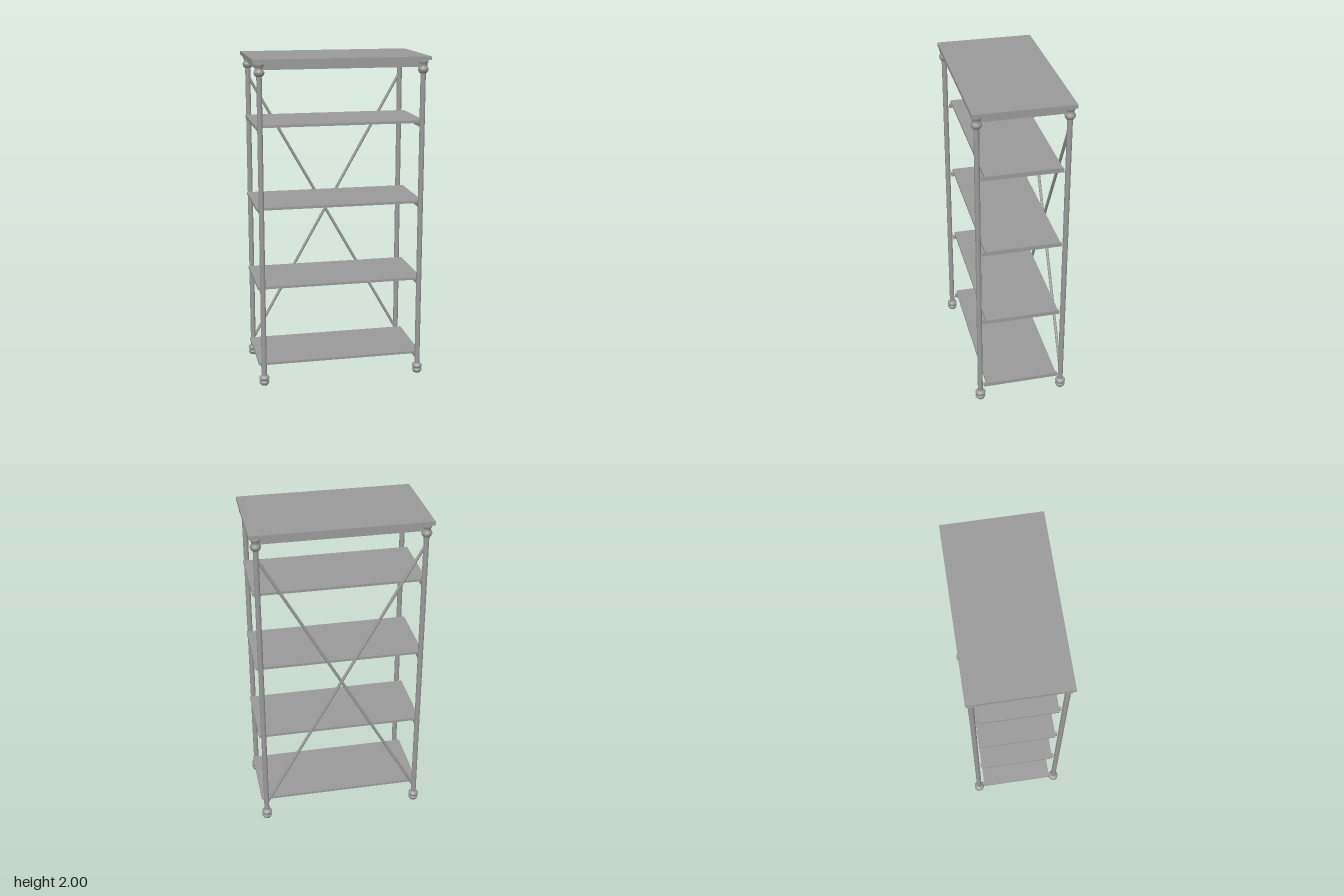
import * as THREE from 'three';

const POST_X = 0.49, POST_Z = 0.262;
const material = new THREE.MeshStandardMaterial({ color: 0x9a9a9a });

function add(parent, name, geometry, x = 0, y = 0, z = 0) {
  const mesh = new THREE.Mesh(geometry, material);
  mesh.name = name;
  mesh.position.set(x, y, z);
  parent.add(mesh);
  return mesh;
}

const box = (w, h, d) => new THREE.BoxGeometry(w, h, d);

// Round bar between two points
function bar(parent, name, from, to, radius) {
  const direction = to.clone().sub(from);
  const mesh = add(parent, name, new THREE.CylinderGeometry(radius, radius, direction.length(), 16));
  mesh.position.copy(from).add(to).multiplyScalar(0.5);
  mesh.quaternion.setFromUnitVectors(new THREE.Vector3(0, 1, 0), direction.normalize());
}

const lathe = (points) =>
  new THREE.LatheGeometry(points.map(([r, y]) => new THREE.Vector2(r, y)), 24);

export function createModel() {
  const model = new THREE.Group();
  model.name = 'shelfUnit';

  // Turned foot and capital profiles, bottom to top
  const foot = lathe([
    [0, 0], [0.02, 0], [0.025, 0.006], [0.031, 0.018], [0.03, 0.024], [0.022, 0.031],
    [0.03, 0.039], [0.032, 0.046], [0.03, 0.053], [0.022, 0.061], [0.016, 0.063],
  ]);
  const capital = lathe([
    [0.016, 1.899], [0.022, 1.902], [0.028, 1.91], [0.032, 1.921], [0.03, 1.93], [0.024, 1.938],
    [0.023, 1.948], [0.025, 1.957], [0.031, 1.965], [0.031, 1.98], [0, 1.98],
  ]);

  // Four posts
  for (const sx of [-1, 1]) {
    for (const sz of [-1, 1]) {
      const post = new THREE.Group();
      post.name = 'post';
      post.position.set(sx * POST_X, 0, sz * POST_Z);
      add(post, 'postTube', new THREE.CylinderGeometry(0.016, 0.016, 1.9, 24), 0, 1.0, 0);
      add(post, 'foot', foot);
      add(post, 'capital', capital);
      model.add(post);
    }
  }

  // Top board and the apron frame beneath it
  add(model, 'topBoard', box(1.062, 0.022, 0.588), 0, 1.989, 0);
  for (const s of [-1, 1]) {
    add(model, 'apronLong', box(2 * POST_X, 0.042, 0.02), 0, 1.959, s * POST_Z);
    add(model, 'apronShort', box(0.02, 0.042, 2 * POST_Z), s * POST_X, 1.959, 0);
  }

  // Shelves, each resting on a rail at either end
  for (const top of [0.127, 0.62, 1.114, 1.611]) {
    add(model, 'shelf', box(1.03, 0.015, 0.452), 0, top - 0.0075, 0);
    for (const s of [-1, 1]) {
      add(model, 'shelfRail', box(0.02, 0.021, 0.478), s * POST_X, top - 0.0255, 0);
    }
  }

  // Crossed braces on the back
  for (const s of [-1, 1]) {
    bar(model, 'backBrace',
      new THREE.Vector3(-s * POST_X, 0.108, -POST_Z),
      new THREE.Vector3(s * POST_X, 1.85, -POST_Z), 0.009);
  }

  return model;
}
